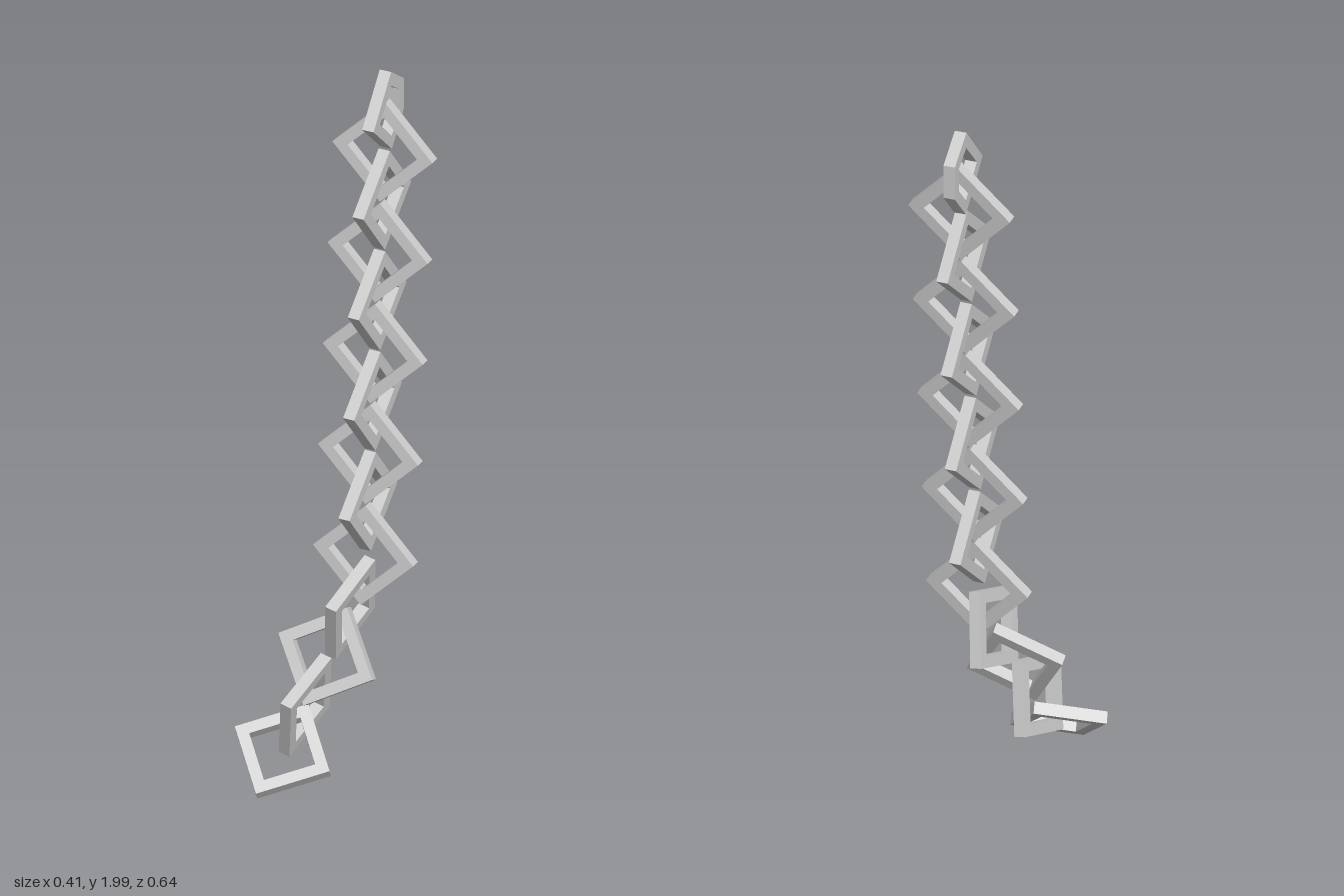
import * as THREE from 'three';

const R = 0.144;     // outer half diagonal of a link
const HOLE = 0.1;    // half diagonal of its opening
const DEPTH = 0.033; // thickness across the link

const diamond = (r) => [[r, 0], [0, r], [-r, 0], [0, -r]].map((p) => new THREE.Vector2(...p));
const points = (list) => list.map((p) => new THREE.Vector2(...p));

// A flat closed ring, extruded and centred on its own plane
function ringGeometry(outer, inner) {
  const shape = new THREE.Shape(outer);
  shape.holes.push(new THREE.Path(inner));
  const geometry = new THREE.ExtrudeGeometry(shape, { depth: DEPTH, bevelEnabled: false });
  return geometry.translate(0, 0, -DEPTH / 2);
}

export function createModel() {
  const chain = new THREE.Group();
  chain.name = 'chain';
  const material = new THREE.MeshStandardMaterial({ color: 0xcccccc, flatShading: true });
  const linkGeometry = ringGeometry(diamond(R), diamond(HOLE));

  // Place a ring by its centre, its long axis "up" and its sideways axis "across"
  function addLink(name, geometry, centre, up, across) {
    const y = new THREE.Vector3(...up).normalize();
    const z = new THREE.Vector3(...across).cross(y).normalize();
    const x = new THREE.Vector3().crossVectors(y, z);
    const mesh = new THREE.Mesh(geometry, material);
    mesh.name = name;
    mesh.quaternion.setFromRotationMatrix(new THREE.Matrix4().makeBasis(x, y, z));
    mesh.position.set(...centre);
    chain.add(mesh);
  }

  // Five-sided end link at the top
  const endGeometry = ringGeometry(
    points([[0, 0.122], [-0.084, 0.058], [-0.084, -0.037], [-0.005, -0.117], [0.117, 0]]),
    points([[-0.002, 0.078], [-0.056, 0.04], [-0.056, -0.024], [-0.004, -0.076], [0.075, 0.001]]),
  );
  addLink('endLink', endGeometry, [0.058, 1.876, -0.204], [0, 1, 0], [0, 0, 1]);

  // Straight, slightly leaning run of alternating links
  const lean = [0, 0.28, -0.032];
  for (let i = 0; i < 5; i++) {
    addLink(`frontFacingLink${i + 1}`, linkGeometry,
      [0.06, 1.76 - 0.292 * i, -0.195 + 0.0322 * i], lean, [1, 0, 0]);
    if (i < 4) {
      addLink(`sideFacingLink${i + 1}`, linkGeometry,
        [0.06, 1.62 - 0.2915 * i, -0.175 + 0.031 * i], lean, [-0.014, 0.037, 0.286]);
    }
  }

  // Curling lower end
  addLink('lowerSideLink1', linkGeometry, [0.039, 0.45, -0.013], [0.06, 0.25, -0.122], [0, 0.132, 0.254]);
  addLink('lowerFrontLink', linkGeometry, [0, 0.325, 0.05], [0.07, 0.247, -0.127], [0.284, -0.07, 0.02]);
  addLink('lowerSideLink2', linkGeometry, [-0.035, 0.203, 0.116], [0.065, 0.245, -0.125], [0, 0.137, 0.259]);
  addLink('bottomLink', linkGeometry, [-0.063, 0.1, 0.2], [0.05, 0.16, -0.23], [0.285, -0.065, 0.02]);

  return chain;
}
